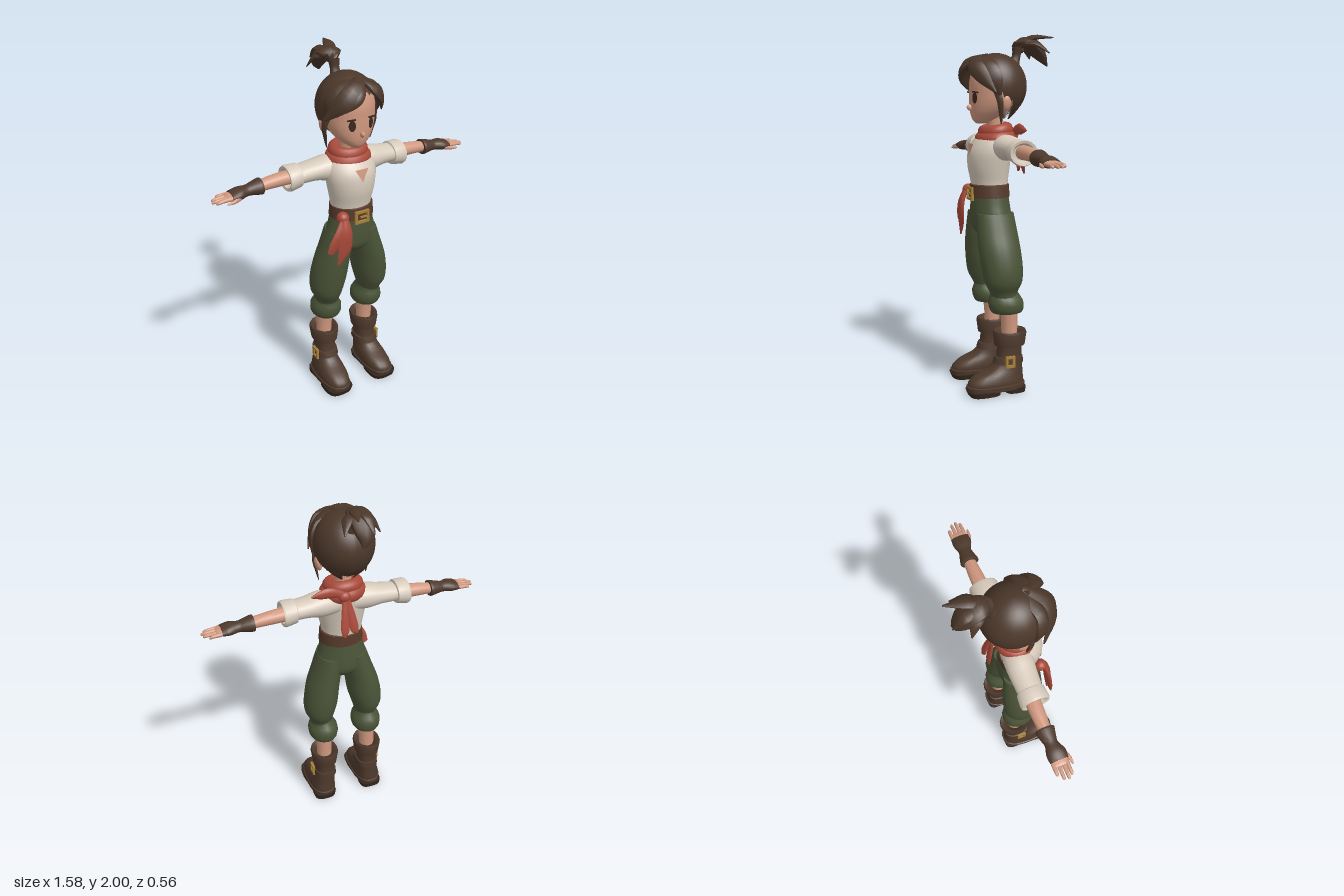
import * as THREE from 'three';
import { toCreasedNormals } from 'three/addons/utils/BufferGeometryUtils.js';

const material = (name, color, side = THREE.FrontSide) => {
  const m = new THREE.MeshStandardMaterial({ color, side });
  m.name = name;
  return m;
};

export function createModel() {
  const root = new THREE.Group();
  root.name = 'adventurer';
  const skin = material('skin', 0xd0987f, THREE.DoubleSide);
  const hair = material('hair brown', 0x4b372a, THREE.DoubleSide);
  const cream = material('shirt cream', 0xd6cabb);
  const green = material('trouser green', 0x4a5337);
  const red = material('scarf red', 0xa94a3a);
  const leather = material('boot leather', 0x4e392c);
  const beltBrown = material('belt brown', 0x573a2b);
  const gold = material('buckle gold', 0xa88238);
  const soleDark = material('sole dark', 0x33261e);
  const eyeDark = material('eye dark', 0x3a2820);

  function add(name, geo, mat, pos = [0, 0, 0], rot = [0, 0, 0], scale = [1, 1, 1]) {
    const mesh = new THREE.Mesh(geo, mat);
    mesh.name = name;
    mesh.position.set(...pos);
    mesh.rotation.set(...rot);
    mesh.scale.set(...scale);
    root.add(mesh);
    return mesh;
  }

  // Oval cross-sections [x, y, z, a, b] joined along a path; a lies along ref.
  function sweep(name, mat, rows, { ref = [1, 0, 0], axis = null, n = 20, steps = 4, pow = 1 } = {}) {
    const path = new THREE.CatmullRomCurve3(rows.map(r => new THREE.Vector3(r[0], r[1], r[2])), false, 'catmullrom');
    const size = new THREE.CatmullRomCurve3(rows.map(r => new THREE.Vector3(r[3], r[4], 0)), false, 'catmullrom');
    const count = (rows.length - 1) * steps, pos = [], index = [];
    const bend = v => Math.sign(v) * Math.abs(v) ** pow;
    for (let i = 0; i <= count; i++) {
      const c = path.getPoint(i / count), s = size.getPoint(i / count);
      const t = axis ? new THREE.Vector3(...axis) : path.getTangent(i / count);
      const u = new THREE.Vector3(...ref);
      u.addScaledVector(t, -u.dot(t)).normalize();
      const v = t.clone().cross(u);
      for (let j = 0; j < n; j++) {
        const q = j / n * Math.PI * 2;
        const p = c.clone().addScaledVector(u, Math.max(s.x, 0.002) * bend(Math.cos(q)))
          .addScaledVector(v, Math.max(s.y, 0.002) * bend(Math.sin(q)));
        pos.push(p.x, p.y, p.z);
      }
    }
    const first = (count + 1) * n, last = first + 1;
    pos.push(...rows[0].slice(0, 3), ...rows[rows.length - 1].slice(0, 3));
    for (let j = 0; j < n; j++) {
      const k = (j + 1) % n;
      for (let i = 0; i < count; i++) {
        const a = i * n + j, b = i * n + k;
        index.push(a, b, a + n, b, b + n, a + n);
      }
      index.push(first, k, j, last, count * n + j, count * n + k);
    }
    const geo = new THREE.BufferGeometry();
    geo.setAttribute('position', new THREE.Float32BufferAttribute(pos, 3));
    geo.setIndex(index);
    return add(name, toCreasedNormals(geo, 0.8), mat);
  }
  const up = { axis: [0, 1, 0] };
  const hard = { axis: [0, 1, 0], steps: 1 };
  // Vertical stack around one x: rows are [y, z, a, b]
  const stack = (name, mat, x, rows, opt = up) => sweep(name, mat, rows.map(([y, z, a, b]) => [x, y, z, a, b]), opt);
  const ball = (name, mat, pos, r, rot) => add(name, new THREE.SphereGeometry(1, 16, 12), mat, pos, rot, r);

  function frame(name, w, h, pos, rotY = 0) {
    const rect = (T, x, y) => new T([[-x, -y], [x, -y], [x, y], [-x, y]].map(p => new THREE.Vector2(...p)));
    const s = rect(THREE.Shape, w / 2, h / 2);
    s.holes.push(rect(THREE.Path, w / 2 - 0.014, h / 2 - 0.014));
    add(name, new THREE.ExtrudeGeometry(s, { depth: 0.014, bevelEnabled: false }), gold, pos, [0, rotY, 0]);
  }

  // Shirt
  stack('shirt', cream, -0.01, [[1.15, 0.085, 0.115, 0.1], [1.2, 0.087, 0.119, 0.105], [1.28, 0.09, 0.135, 0.117],
    [1.36, 0.083, 0.146, 0.12], [1.42, 0.065, 0.135, 0.107], [1.465, 0.05, 0.09, 0.08], [1.49, 0.05, 0.05, 0.05]],
  { axis: [0, 1, 0], n: 28 });
  const opening = new THREE.BufferGeometry();
  opening.setAttribute('position', new THREE.Float32BufferAttribute(
    [-0.046, 1.405, 0.195, -0.006, 1.335, 0.209, 0.034, 1.405, 0.195], 3));
  opening.computeVertexNormals();
  add('neckOpening', opening, skin);

  // Arms, gloves and hands
  for (const s of [1, -1]) {
    const cuffShift = s < 0 ? 0.022 : 0;
    const arm = (name, mat, rows, opt = {}) => sweep(name, mat,
      rows.map(([x, ...r]) => [s * x, ...r]), { axis: [s, 0, 0], ref: [0, 1, 0], ...opt });
    arm('sleeve', cream, [[0.04, 1.385, 0.04, 0.066, 0.078], [0.13, 1.386, 0.033, 0.071, 0.08],
      [0.21, 1.386, 0.027, 0.056, 0.074], [0.3, 1.38, 0.025, 0.05, 0.068]]);
    arm('sleeveCuff', cream, [[0.275, 1.38, 0.025, 0.05, 0.066], [0.28, 1.378, 0.025, 0.064, 0.076],
      [0.34, 1.372, 0.025, 0.071, 0.082], [0.353, 1.372, 0.025, 0.066, 0.077], [0.35, 1.372, 0.025, 0.052, 0.062],
      [0.32, 1.372, 0.025, 0.04, 0.045]].map(([x, ...r]) => [x + cuffShift, ...r]), { steps: 1 });
    arm('forearm', skin, [[0.3, 1.375, 0.018, 0.04, 0.044], [0.42, 1.37, 0.014, 0.036, 0.04], [0.56, 1.358, 0.014, 0.028, 0.03]]);
    arm('glove', leather, [[0.51, 1.36, 0.014, 0.036, 0.04], [0.515, 1.36, 0.014, 0.044, 0.052], [0.56, 1.358, 0.014, 0.035, 0.042],
      [0.595, 1.355, 0.016, 0.029, 0.036], [0.64, 1.352, 0.02, 0.031, 0.052], [0.685, 1.348, 0.02, 0.022, 0.05]]);
    arm('palm', skin, [[0.66, 1.348, 0.02, 0.018, 0.046], [0.7, 1.346, 0.019, 0.015, 0.044], [0.715, 1.345, 0.019, 0.01, 0.038]]);
    [[-0.018, 0.755], [0.007, 0.783], [0.032, 0.79], [0.054, 0.775]].forEach(([z, tip]) =>
      arm('finger', skin, [[0.69, 1.346, z, 0.011, 0.011], [0.74, 1.344, z, 0.01, 0.01],
        [tip - 0.006, 1.339, z, 0.008, 0.008], [tip, 1.338, z, 0.003, 0.003]], { n: 8, steps: 2 }));
    arm('thumb', skin, [[0.645, 1.342, 0.06, 0.012, 0.012], [0.685, 1.337, 0.075, 0.011, 0.011], [0.725, 1.333, 0.08, 0.004, 0.004]],
      { n: 8, steps: 2 });
  }

  // Trousers, belt and sash
  stack('trouserHips', green, -0.007, [[0.9, 0.075, 0.085, 0.085], [0.94, 0.077, 0.145, 0.11], [1.0, 0.08, 0.147, 0.113],
    [1.06, 0.083, 0.132, 0.109], [1.12, 0.085, 0.12, 0.103]], { axis: [0, 1, 0], n: 28 });
  stack('belt', beltBrown, -0.007, [[1.105, 0.087, 0.118, 0.104], [1.107, 0.088, 0.128, 0.113],
    [1.175, 0.087, 0.123, 0.11], [1.18, 0.087, 0.114, 0.1]], { ...hard, n: 32 });
  frame('beltBuckle', 0.088, 0.074, [-0.007, 1.127, 0.195]);
  add('buckleTongue', new THREE.BoxGeometry(0.045, 0.009, 0.009), gold, [0.005, 1.127, 0.205]);
  ball('sashKnot', red, [-0.112, 1.135, 0.175], [0.035, 0.035, 0.035]);
  const ribbon = (name, rows) => sweep(name, red, rows, { n: 10 });
  ribbon('sashTail', [[-0.11, 1.14, 0.19, 0.02, 0.012], [-0.14, 1.07, 0.208, 0.034, 0.014],
    [-0.18, 1.0, 0.208, 0.036, 0.01], [-0.205, 0.95, 0.203, 0.022, 0.005]]);
  ribbon('sashTail', [[-0.11, 1.14, 0.195, 0.02, 0.012], [-0.115, 1.06, 0.218, 0.037, 0.014],
    [-0.125, 0.96, 0.217, 0.042, 0.01], [-0.16, 0.87, 0.208, 0.006, 0.004]]);

  // Legs and boots
  for (const s of [1, -1]) {
    const x = -0.01 + s * 0.14;
    sweep('trouserLeg', green, [[0.143, 0.54, 0.045, 0.062, 0.072], [0.143, 0.58, 0.055, 0.066, 0.08],
      [0.148, 0.64, 0.058, 0.088, 0.107], [0.137, 0.72, 0.062, 0.099, 0.118], [0.12, 0.82, 0.07, 0.095, 0.12],
      [0.095, 0.92, 0.076, 0.084, 0.116], [0.074, 1.02, 0.08, 0.07, 0.108]].map(([d, ...r]) => [-0.007 + s * d, ...r]), up);
    stack('trouserCuff', green, x - s * 0.002, [[0.465, 0.032, 0.055, 0.065], [0.463, 0.033, 0.076, 0.088], [0.49, 0.037, 0.088, 0.1],
      [0.53, 0.041, 0.086, 0.1], [0.565, 0.047, 0.066, 0.083], [0.59, 0.053, 0.06, 0.075]], { ...up, n: 16, steps: 2 });
    stack('calf', skin, x, [[0.3, 0.018, 0.045, 0.045], [0.4, 0.02, 0.047, 0.047], [0.5, 0.025, 0.052, 0.054]], { ...up, n: 12 });
    stack('bootCuff', leather, x, [[0.265, 0.018, 0.056, 0.066], [0.27, 0.018, 0.074, 0.089], [0.34, 0.017, 0.084, 0.098],
      [0.355, 0.017, 0.079, 0.093], [0.35, 0.017, 0.062, 0.072], [0.325, 0.017, 0.045, 0.05]], { ...hard, n: 16 });
    const slide = y => x + s * 0.014 * Math.max(0, 1 - y / 0.2);
    const boot = (name, mat, rows, opt) => sweep(name, mat, rows.map(([y, ...r]) => [slide(y), y, ...r]), { ...up, pow: 0.8, ...opt });
    boot('boot', leather, [[0.04, 0.105, 0.076, 0.162], [0.07, 0.104, 0.079, 0.162], [0.105, 0.086, 0.074, 0.14],
      [0.14, 0.045, 0.066, 0.098], [0.18, 0.026, 0.061, 0.078], [0.23, 0.02, 0.057, 0.07], [0.3, 0.018, 0.06, 0.071]], { steps: 3 });
    boot('welt', leather, [[0.026, 0.106, 0.081, 0.168], [0.052, 0.106, 0.084, 0.172], [0.056, 0.106, 0.076, 0.162]], { steps: 1 });
    boot('heelSole', soleDark, [[0, -0.002, 0.066, 0.06], [0.03, -0.002, 0.07, 0.063]], { steps: 1, pow: 0.65 });
    boot('frontSole', soleDark, [[0.002, 0.178, 0.078, 0.09], [0.03, 0.184, 0.082, 0.094]], { steps: 1, pow: 0.65 });
    stack('bootStrap', leather, x, [[0.168, 0.028, 0.062, 0.08], [0.17, 0.028, 0.069, 0.087], [0.203, 0.024, 0.066, 0.08],
      [0.205, 0.024, 0.058, 0.072]], { ...hard, pow: 0.8 });
    frame('bootBuckle', 0.055, 0.066, [x + s * 0.064, 0.187, 0.04], s * Math.PI / 2);
  }

  // Head and face
  const hx = -0.008;
  stack('neck', skin, hx, [[1.42, 0.045, 0.055, 0.05], [1.5, 0.05, 0.046, 0.046], [1.6, 0.06, 0.05, 0.055]]);
  stack('head', skin, hx, [[1.515, 0.13, 0.022, 0.03], [1.535, 0.12, 0.055, 0.06], [1.57, 0.097, 0.096, 0.094],
    [1.62, 0.074, 0.126, 0.121], [1.68, 0.062, 0.139, 0.133], [1.75, 0.056, 0.14, 0.137], [1.82, 0.05, 0.116, 0.118],
    [1.87, 0.05, 0.05, 0.05]], { ...up, n: 32 });
  ball('nose', skin, [hx, 1.602, 0.196], [0.011, 0.017, 0.022], [-0.3, 0, 0]);
  for (const s of [1, -1]) {
    add('eye', new THREE.CircleGeometry(1, 20), eyeDark, [hx + s * 0.056, 1.655, 0.19], [0, s * 0.4, 0], [0.019, 0.03, 1]);
    add('eyelash', new THREE.BoxGeometry(0.046, 0.008, 0.006), eyeDark, [hx + s * 0.06, 1.687, 0.189], [0, s * 0.4, -s * 0.12]);
    ball('ear', skin, [hx + s * 0.143, 1.628, 0.04], [0.018, 0.042, 0.027], [0, 0, -s * 0.2]);
  }

  // Hair cap: a dome whose lower rim rises over the face and falls to the nape
  const rim = [[0, 1.83], [0.2, 1.79], [0.35, 1.7], [0.5, 1.645], [0.65, 1.6], [1, 1.55]];
  const rimHeight = f => {
    const i = Math.max(1, rim.findIndex(r => r[0] >= f));
    const [f0, y0] = rim[i - 1], [f1, y1] = rim[i];
    return y0 + (y1 - y0) * (f - f0) / (f1 - f0);
  };
  const dome = new THREE.SphereGeometry(1, 48, 16), dp = dome.attributes.position, duv = dome.attributes.uv;
  for (let i = 0; i < dp.count; i++) {
    const az = (Math.min(1, Math.max(0, duv.getX(i))) * 2 - 1) * Math.PI;
    const low = rimHeight(Math.min(1, Math.abs(az) / Math.PI)) + 0.008 * Math.sin(az * 14);
    const th = (1 - duv.getY(i)) * Math.acos((low - 1.72) / 0.18);
    dp.setXYZ(i, -0.01 + 0.166 * Math.sin(th) * Math.sin(az), 1.72 + 0.18 * Math.cos(th), 0.045 + 0.173 * Math.sin(th) * Math.cos(az));
  }
  dome.computeVertexNormals();
  add('hairCap', dome, hair);

  // Locks: rows [x, y, z, thickness, width], flat against the given centre
  const lock = (name, rows, centre = [-0.01, 1.72, 0.045]) => {
    const mid = rows[rows.length >> 1];
    return sweep(name, hair, rows, { ref: centre.map((c, i) => mid[i] - c), n: 10 });
  };
  lock('fringe', [[0.03, 1.885, 0.11, 0.01, 0.02], [-0.05, 1.85, 0.19, 0.022, 0.05], [-0.125, 1.785, 0.195, 0.02, 0.05], [-0.198, 1.69, 0.13, 0.004, 0.006]]);
  lock('fringe', [[0.0, 1.88, 0.1, 0.01, 0.03], [-0.1, 1.84, 0.15, 0.02, 0.05], [-0.155, 1.77, 0.14, 0.02, 0.05], [-0.17, 1.68, 0.1, 0.004, 0.008]]);
  lock('fringe', [[0.0, 1.88, 0.14, 0.01, 0.02], [-0.03, 1.835, 0.21, 0.016, 0.03], [-0.07, 1.795, 0.228, 0.014, 0.03], [-0.12, 1.745, 0.215, 0.003, 0.005]]);
  lock('fringe', [[0.0, 1.885, 0.11, 0.01, 0.02], [0.06, 1.84, 0.19, 0.02, 0.042], [0.115, 1.78, 0.175, 0.018, 0.045], [0.165, 1.685, 0.11, 0.004, 0.006]]);
  lock('fringe', [[0.02, 1.88, 0.09, 0.01, 0.03], [0.09, 1.835, 0.13, 0.02, 0.05], [0.143, 1.76, 0.11, 0.018, 0.05], [0.152, 1.67, 0.08, 0.004, 0.008]]);
  for (const s of [1, -1]) {
    lock('sideStrand', [[-0.01 + s * 0.137, 1.72, 0.1, 0.01, 0.022], [-0.01 + s * 0.156, 1.64, 0.08, 0.009, 0.018],
      [-0.01 + s * 0.145, 1.57, 0.07, 0.007, 0.012], [-0.01 + s * 0.135, 1.515, 0.065, 0.002, 0.003]]);
    lock('napeLock', [[-0.01 + s * 0.1, 1.68, -0.05, 0.014, 0.04], [-0.01 + s * 0.08, 1.61, -0.045, 0.014, 0.04], [-0.01 + s * 0.035, 1.54, -0.015, 0.003, 0.006]]);
  }

  // Ponytail
  sweep('ponytailStem', hair, [[-0.01, 1.83, -0.055, 0.042, 0.04], [-0.01, 1.88, -0.075, 0.026, 0.024], [-0.01, 1.93, -0.085, 0.032, 0.03]], { n: 12 });
  const tail = [-0.01, 1.86, -0.13];
  lock('ponytail', [[-0.01, 1.91, -0.075, 0.022, 0.03], [-0.015, 1.955, -0.115, 0.034, 0.06], [-0.02, 1.935, -0.18, 0.04, 0.066],
    [-0.015, 1.88, -0.235, 0.026, 0.045], [0, 1.83, -0.262, 0.003, 0.005]], tail);
  [[[0.01, 1.987, -0.17], [0.04, 1.988, -0.28]], [[-0.07, 1.94, -0.16], [-0.11, 1.875, -0.2]],
    [[0.05, 1.95, -0.17], [0.09, 1.9, -0.235]], [[-0.04, 1.965, -0.2], [-0.05, 1.9, -0.27]]].forEach(([m, e]) =>
    lock('ponytailWisp', [[-0.01, 1.945, -0.09, 0.018, 0.02], [...m, 0.015, 0.032], [...e, 0.003, 0.004]], tail));

  // Neck scarf with side knot and hanging ends
  [[1.432, 0.092, 0.04, 0.052, 0.1], [1.475, 0.078, 0.036, 0.05, 0.16]].forEach(([y, r, tube, z, tilt]) => {
    const loop = new THREE.TorusGeometry(r, tube, 12, 32).rotateX(Math.PI / 2).scale(1, 1.05, 0.86);
    add('scarfLoop', loop, red, [-0.006, y, z], [tilt, 0, 0]);
  });
  ball('scarfKnot', red, [0.02, 1.45, -0.05], [0.035, 0.03, 0.025]);
  sweep('scarfBow', red, [[0.03, 1.465, -0.045, 0.018, 0.014], [0.1, 1.485, -0.045, 0.03, 0.016], [0.15, 1.485, -0.045, 0.026, 0.014],
    [0.205, 1.482, -0.048, 0.005, 0.004]], { ref: [0, 1, 0], n: 10 });
  ribbon('scarfEnd', [[0.01, 1.44, -0.055, 0.014, 0.01], [-0.005, 1.36, -0.075, 0.022, 0.008], [-0.02, 1.27, -0.095, 0.025, 0.007], [-0.035, 1.24, -0.1, 0.006, 0.004]]);
  ribbon('scarfEnd', [[0.02, 1.44, -0.055, 0.014, 0.01], [0.03, 1.36, -0.08, 0.02, 0.008], [0.035, 1.27, -0.1, 0.024, 0.007], [0.04, 1.23, -0.108, 0.006, 0.004]]);

  return root;
}
